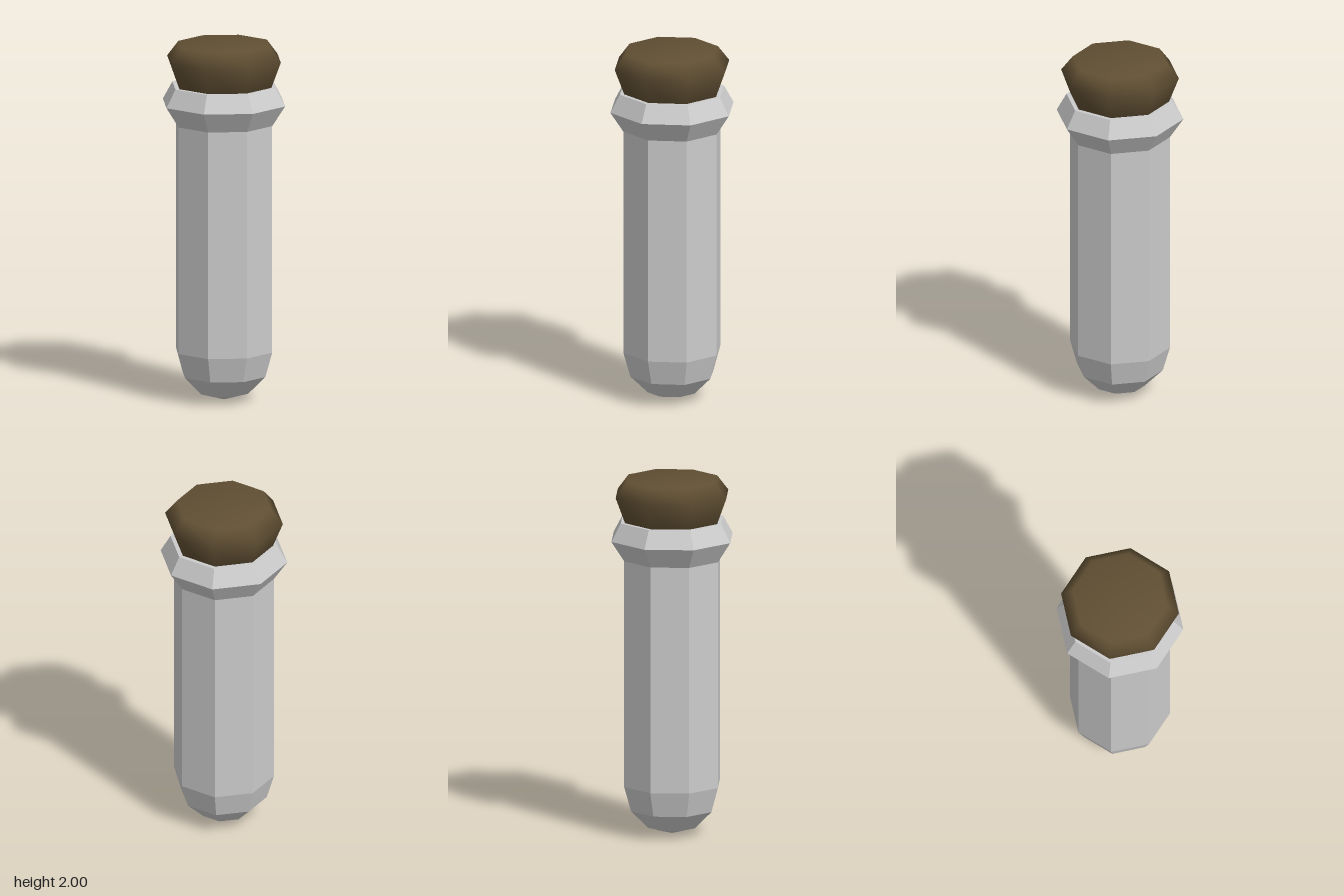
import * as THREE from 'three';

const SIDES = 8;

// Eight-sided turned part from [radius, height] pairs, listed bottom to top
function turned(name, profile, material) {
  const points = profile.map(([r, y]) => new THREE.Vector2(r, y));
  const mesh = new THREE.Mesh(new THREE.LatheGeometry(points, SIDES), material);
  mesh.name = name;
  return mesh;
}

export function createModel() {
  const model = new THREE.Group();
  model.name = 'stopperedTube';

  const glass = new THREE.MeshStandardMaterial({ color: 0xcccccc, flatShading: true });
  const cork = new THREE.MeshStandardMaterial({ color: 0x604f33 });

  // Tube with a rounded base
  model.add(turned('tube', [
    [0, 0], [0.14, 0.04], [0.24, 0.14], [0.28, 0.28], [0.28, 1.555],
  ], glass));

  // Flared collar, turning in over the mouth
  model.add(turned('collar', [
    [0.28, 1.555], [0.355, 1.67], [0.3, 1.77], [0.26, 1.77], [0.25, 1.69],
  ], glass));

  // Soft-shaded cork seated in the mouth
  model.add(turned('stopper', [
    [0, 1.69], [0.245, 1.69], [0.33, 1.915], [0.265, 2], [0, 2],
  ], cork));

  return model;
}
